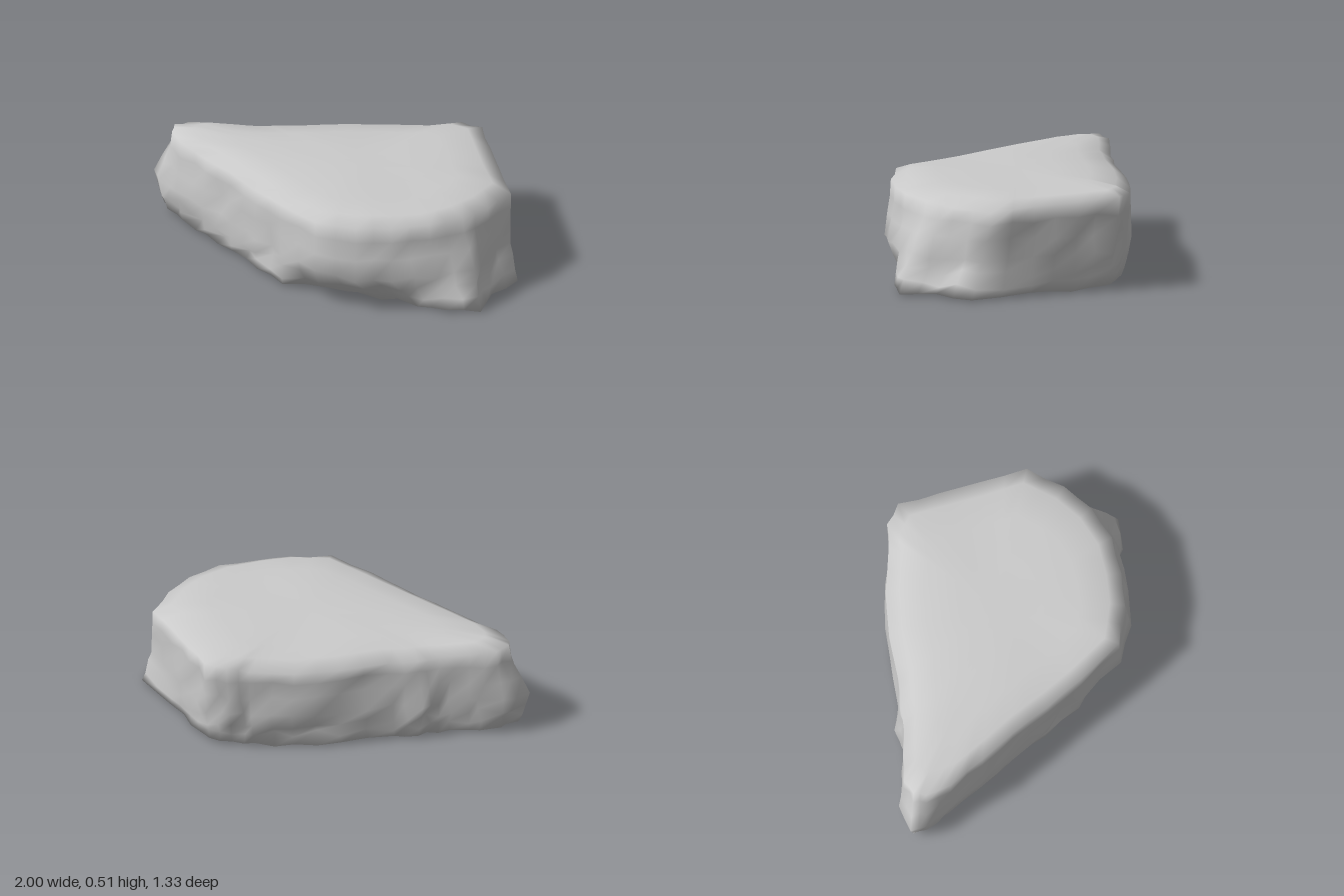
import * as THREE from 'three';

// Plan outlines [x, z], matched point by point, from the narrow tip around the back
const WAIST = [
  [-1, .08], [-.9, -.03], [-.74, -.09], [-.6, -.15], [-.54, -.22], [-.4, -.27], [-.17, -.42], [.04, -.54],
  [.23, -.61], [.33, -.64], [.46, -.63], [.6, -.48], [.75, -.32], [.93, -.12], [.92, .08], [.94, .26],
  [.8, .39], [.62, .53], [.46, .62], [.25, .66], [0, .56], [-.2, .47], [-.4, .37], [-.6, .3], [-.8, .21], [-.94, .14]];
const BASE = [
  [-.94, .08], [-.88, -.01], [-.73, -.07], [-.59, -.13], [-.51, -.2], [-.4, -.25], [-.17, -.4], [.04, -.5],
  [.23, -.56], [.34, -.58], [.46, -.58], [.6, -.46], [.76, -.31], [.99, -.09], [.96, .12], [1, .3],
  [.86, .39], [.7, .41], [.5, .42], [.2, .45], [0, .54], [-.2, .45], [-.4, .35], [-.6, .26], [-.78, .18], [-.9, .12]];
const RIM = [
  [-.9, .05], [-.86, -.02], [-.74, -.08], [-.6, -.14], [-.51, -.2], [-.38, -.27], [-.17, -.42], [.03, -.53],
  [.24, -.61], [.34, -.665], [.46, -.66], [.6, -.5], [.75, -.33], [.91, -.16], [.9, .05], [.85, .22],
  [.75, .38], [.6, .5], [.45, .59], [.25, .65], [0, .555], [-.2, .465], [-.4, .365], [-.59, .285], [-.78, .2], [-.88, .11]];

// How far the rim is worn down at each outline point
const WEAR = [
  .01, .02, .03, .04, .045, .045, .05, .05, .035, 0, 0, .01, .02,
  .035, .03, .02, .02, .02, .02, .01, .015, .02, .02, .02, .02, .015];

// Rings from bottom to top: outlines to blend, amount, inset scale, height, roughness, wear
const LEVELS = [
  [BASE, BASE, 0, .45, .01, 0, 0],
  [BASE, BASE, 0, .88, .012, 0, 0],
  [BASE, BASE, 0, 1, .022, .012, 0],
  [BASE, WAIST, .35, 1, .075, .02, 0],
  [BASE, WAIST, .65, 1, .13, .022, 0],
  [WAIST, WAIST, 0, 1, .2, .018, 0],
  [WAIST, RIM, .4, 1, .3, .016, 0],
  [WAIST, RIM, .85, 1, .4, .008, .4],
  [RIM, RIM, 0, 1, .487, .004, 1],
  [RIM, RIM, 0, .88, .504, 0, .25],
  [RIM, RIM, 0, .65, .512, 0, 0],
  [RIM, RIM, 0, .35, .516, 0, 0]];

const PIVOT = [.15, .03];

function makeNoise(seed) {
  return () => {
    seed = (seed * 16807) % 2147483647;
    return seed / 1073741823.5 - 1;
  };
}

function rockGeometry() {
  const noise = makeNoise(4217);
  const n = WAIST.length * 2;
  const pos = [];
  const index = [];

  // Value at step k around an outline, with one midpoint between each pair of corners
  const between = (a, b, k) => a + (b - a) * (k % 2) / 2;
  const sample = (outline, k) => {
    const a = outline[k >> 1];
    const b = outline[((k >> 1) + 1) % outline.length];
    return [between(a[0], b[0], k), between(a[1], b[1], k)];
  };

  for (const [from, to, amount, scale, height, rough, wear] of LEVELS) {
    for (let k = 0; k < n; k++) {
      const a = sample(from, k);
      const b = sample(to, k);
      // Corners hold the outline, midpoints are chipped mostly inwards
      const chip = k % 2 ? 1 + (noise() - .5) * rough * 2 : 1;
      const [x, z] = [0, 1].map(i => PIVOT[i] + (a[i] + (b[i] - a[i]) * amount - PIVOT[i]) * scale * chip);
      const worn = between(WEAR[k >> 1], WEAR[((k >> 1) + 1) % WEAR.length], k);
      let y = height - worn * wear + noise() * rough;
      // The underside lifts a little towards the tip, the top undulates gently
      if (height < .1) y += Math.max(0, -x - .7) * .1;
      if (height > .5) y += .006 * Math.sin(7 * x + 2) * Math.cos(6 * z);
      pos.push(x, Math.max(0, y), z);
    }
  }

  // Walls between neighbouring rings
  for (let r = 0; r < LEVELS.length - 1; r++) {
    for (let k = 0; k < n; k++) {
      const a = r * n + k;
      const b = r * n + (k + 1) % n;
      index.push(b, a, a + n, b, a + n, b + n);
    }
  }

  // Caps for the underside and the top
  const bottom = pos.length / 3;
  pos.push(PIVOT[0], .01, PIVOT[1], PIVOT[0], .517, PIVOT[1]);
  const last = (LEVELS.length - 1) * n;
  for (let k = 0; k < n; k++) {
    const next = (k + 1) % n;
    index.push(bottom, k, next, bottom + 1, last + next, last + k);
  }

  const geometry = new THREE.BufferGeometry();
  geometry.setAttribute('position', new THREE.Float32BufferAttribute(pos, 3));
  geometry.setIndex(index);
  geometry.computeVertexNormals();
  return geometry;
}

export function createModel() {
  const group = new THREE.Group();
  group.name = 'rock';
  const slab = new THREE.Mesh(rockGeometry(), new THREE.MeshStandardMaterial({ color: 0xcccccc }));
  slab.name = 'rockSlab';
  group.add(slab);
  return group;
}
